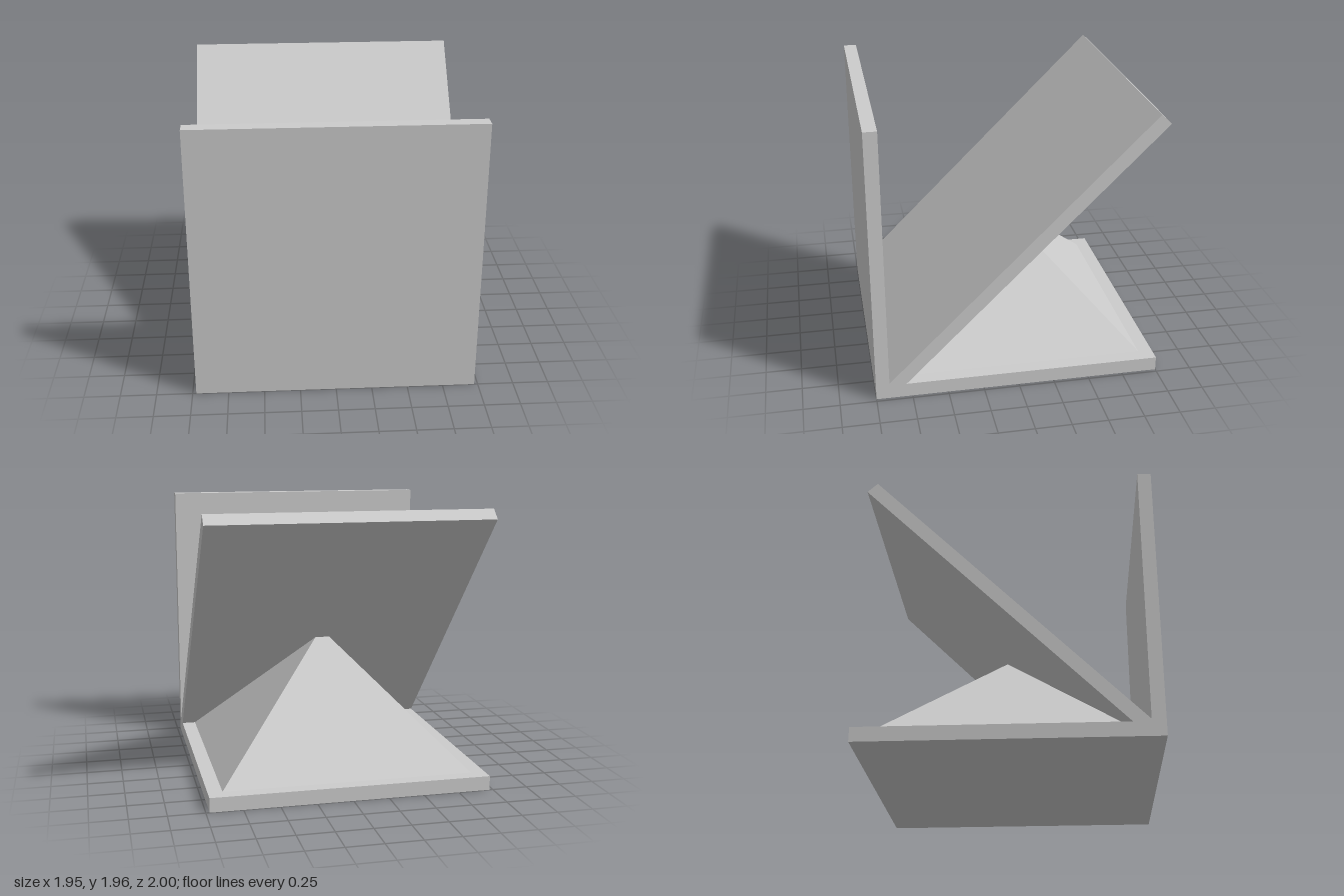
import * as THREE from 'three';

export function createModel() {
  const group = new THREE.Group();
  const material = new THREE.MeshStandardMaterial({ color: 0xcccccc, flatShading: true });
  const width = 1.95;

  // Base, upright front panel and slanted panel share one side profile of [z, y] points
  const profile = [
    [1, 0], [-1, 0], [-1, 0.1], [0.79, 0.1], [-0.99, 1.877],
    [-0.92, 1.943], [0.907, 0.115], [0.907, 1.955], [1, 1.955],
  ];
  const side = new THREE.Shape(profile.map(([z, y]) => new THREE.Vector2(-z, y)));
  const frameGeometry = new THREE.ExtrudeGeometry(side, { depth: width, bevelEnabled: false });
  frameGeometry.translate(0, 0, -width / 2).rotateY(Math.PI / 2);
  const frame = new THREE.Mesh(frameGeometry, material);
  frame.name = 'panelFrame';
  group.add(frame);

  // Four-sided pyramid on the base, its tip buried in the slanted panel
  const height = 0.895;
  const pyramidGeometry = new THREE.ConeGeometry(Math.SQRT2, height, 4);
  pyramidGeometry.rotateY(Math.PI / 4).scale(0.875, 1, 0.9).translate(0, 0.1 + height / 2, 0);
  const pyramid = new THREE.Mesh(pyramidGeometry, material);
  pyramid.name = 'pyramidSupport';
  group.add(pyramid);

  return group;
}
